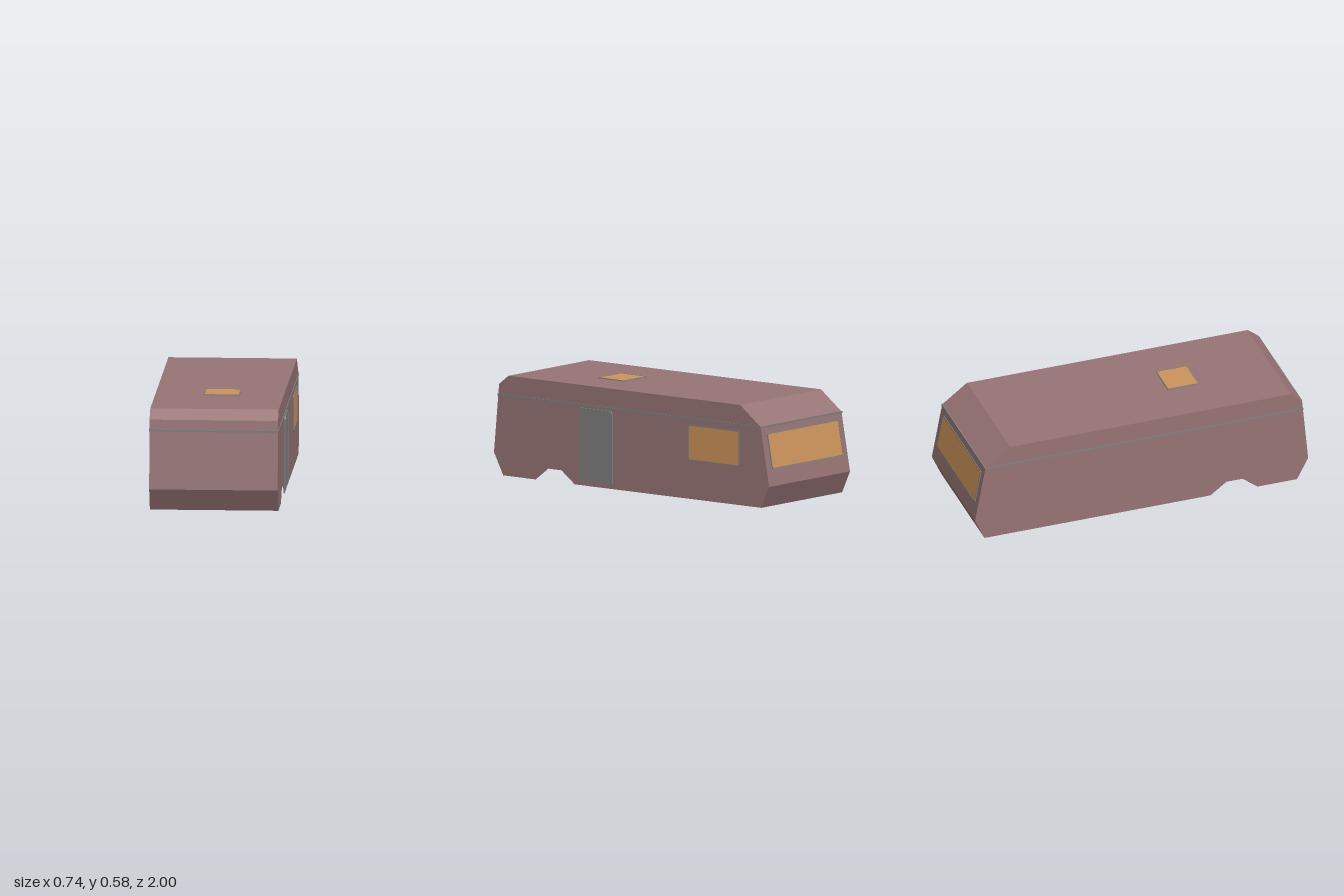
import * as THREE from 'three';

const material = (color, side = THREE.FrontSide) =>
  new THREE.MeshStandardMaterial({ color, side });

const PAINT = material(0x977475, THREE.DoubleSide);
const TRIM = material(0x7e807e);
const GLASS = material(0xcd935b);

const LEFT = 0.361, RIGHT = -0.367;
const MID = (LEFT + RIGHT) / 2;

// Side outline as [z, y], from the back sill over the roof to the front sill
const OUTLINE = [
  [-0.943, 0], [-1, 0.125], [-0.938, 0.462], [-0.79, 0.574],
  [0.895, 0.574], [0.963, 0.521], [1, 0.127], [0.933, 0],
];
// Wheel arch cut into the lower edge of both side walls
const ARCH = [[0.697, 0], [0.605, 0.071], [0.51, 0.071], [0.413, 0]];

function addMesh(parent, name, geometry, mat) {
  const mesh = new THREE.Mesh(geometry, mat);
  mesh.name = name;
  parent.add(mesh);
  return mesh;
}

function sideWall(sign) {
  const points = [...OUTLINE, ...ARCH].map(([z, y]) => new THREE.Vector2(-sign * z, y));
  const geometry = new THREE.ShapeGeometry(new THREE.Shape(points));
  geometry.rotateY(sign * Math.PI / 2);
  return geometry.translate(sign > 0 ? LEFT : RIGHT, 0, 0);
}

// Front, roof and back as one folded sheet
function foldedSkin() {
  const sheet = new THREE.PlaneGeometry(LEFT - RIGHT, 1, 1, OUTLINE.length - 1);
  const pos = sheet.attributes.position;
  for (let i = 0; i < pos.count; i++) {
    const [z, y] = OUTLINE[Math.floor(i / 2)];
    pos.setXYZ(i, pos.getX(i) + MID, y, z);
  }
  const skin = sheet.toNonIndexed();
  skin.computeVertexNormals();
  return skin;
}

function roundedRect(w, h, topR, bottomR = topR, Type = THREE.Shape) {
  const x = w / 2, y = h / 2;
  const s = new Type();
  s.moveTo(-x + bottomR, -y);
  s.lineTo(x - bottomR, -y);
  s.quadraticCurveTo(x, -y, x, -y + bottomR);
  s.lineTo(x, y - topR);
  s.quadraticCurveTo(x, y, x - topR, y);
  s.lineTo(-x + topR, y);
  s.quadraticCurveTo(-x, y, -x, y - topR);
  s.lineTo(-x, -y + bottomR);
  s.quadraticCurveTo(-x, -y, -x + bottomR, -y);
  return s;
}

const extrude = (shape, depth) =>
  new THREE.ExtrudeGeometry(shape, { depth, bevelEnabled: false, curveSegments: 5 });

// Framed panel lying in the xy plane and facing +z
function framedPanel(name, w, h, depth, mat, topR, bottomR = topR) {
  const group = new THREE.Group();
  group.name = name;
  const rim = 0.006;
  const frame = roundedRect(w, h, topR, bottomR);
  frame.holes.push(roundedRect(w - 2 * rim, h - 2 * rim, topR * 0.8, bottomR * 0.8, THREE.Path));
  addMesh(group, name + 'Frame', extrude(frame, depth), TRIM);
  addMesh(group, name + 'Pane',
    extrude(roundedRect(w - 2 * rim, h - 2 * rim, topR * 0.8, bottomR * 0.8), depth * 0.75), mat);
  return group;
}

export function createModel() {
  const model = new THREE.Group();
  model.name = 'camperBody';

  // Open-bottomed shell
  const shell = new THREE.Group();
  shell.name = 'shell';
  addMesh(shell, 'frontRoofBack', foldedSkin(), PAINT);
  addMesh(shell, 'leftWall', sideWall(1), PAINT);
  addMesh(shell, 'rightWall', sideWall(-1), PAINT);
  model.add(shell);

  // Trim band running round the body
  const band = roundedRect(0.736, 1.914, 0.002);
  band.holes.push(roundedRect(0.727, 1.9, 0.002, 0.002, THREE.Path));
  const bandGeometry = extrude(band, 0.011).rotateX(Math.PI / 2);
  addMesh(model, 'trimBand', bandGeometry, TRIM).position.set(MID, 0.465, 0.015);

  // Door with rounded top corners
  const door = framedPanel('door', 0.243, 0.42, 0.008, TRIM, 0.024, 0.006);
  door.rotation.y = Math.PI / 2;
  door.position.set(LEFT, 0.235, 0.258);
  model.add(door);

  // Side window
  const sideWindow = framedPanel('sideWindow', 0.374, 0.205, 0.005, GLASS, 0.01);
  sideWindow.rotation.y = Math.PI / 2;
  sideWindow.position.set(LEFT, 0.323, -0.6);
  model.add(sideWindow);

  // Back window, leaning with the sloped back wall
  const [[z0, y0], [z1, y1]] = [OUTLINE[1], OUTLINE[2]];
  const t = (0.32 - y0) / (y1 - y0);
  const backWindow = framedPanel('backWindow', 0.64, 0.205, 0.005, GLASS, 0.01);
  backWindow.rotation.order = 'YXZ';
  backWindow.rotation.set(-Math.atan2(z1 - z0, y1 - y0), Math.PI, 0);
  backWindow.position.set(-0.005, 0.32, z0 + t * (z1 - z0));
  model.add(backWindow);

  // Roof hatch
  const hatch = framedPanel('roofHatch', 0.205, 0.19, 0.005, GLASS, 0.007);
  hatch.rotation.x = -Math.PI / 2;
  hatch.position.set(0.01, 0.574, 0.35);
  model.add(hatch);

  return model;
}
